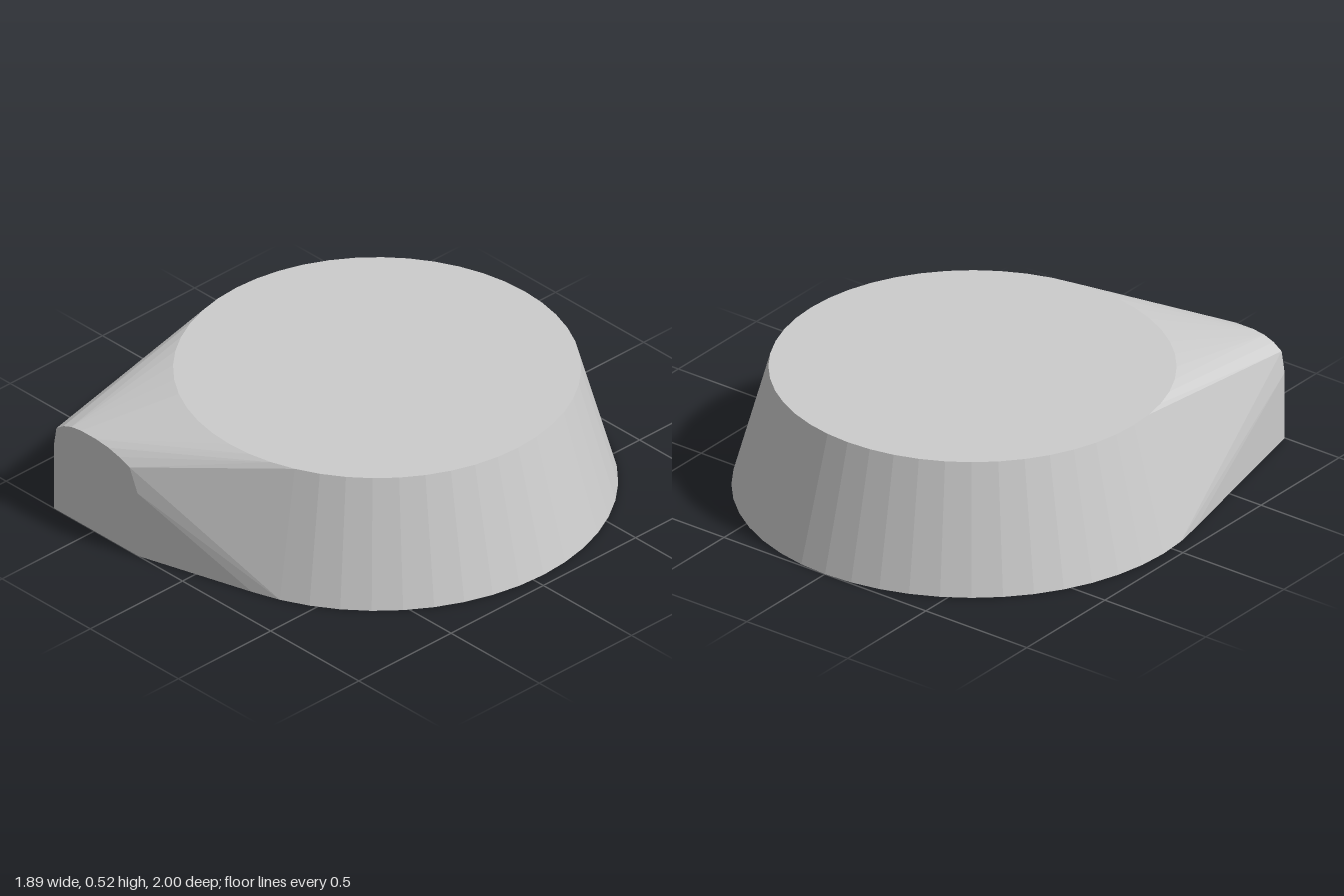
import * as THREE from 'three';
import { ConvexGeometry } from 'three/addons/geometries/ConvexGeometry.js';

const SEGMENTS = 48;
const CENTRE_Z = -0.055;

// Horizontal ring of points around the body's axis
function ring(radius, y) {
  return Array.from({ length: SEGMENTS }, (_, i) => {
    const a = (i / SEGMENTS) * Math.PI * 2;
    return new THREE.Vector3(radius * Math.sin(a), y, CENTRE_Z + radius * Math.cos(a));
  });
}

export function createModel() {
  const group = new THREE.Group();
  group.name = 'taperedBodyWithSpout';

  // Flat arched end of the spout, on the front plane
  const archProfile = [
    [-0.73, 0], [-0.73, 0.29], [-0.715, 0.38], [-0.675, 0.408], [-0.63, 0.425],
    [-0.575, 0.433], [-0.49, 0.433], [-0.42, 0.426], [-0.36, 0.411],
    [-0.3, 0.39], [-0.255, 0.29], [-0.25, 0],
  ];
  const spoutEnd = archProfile.map(([x, y]) => new THREE.Vector3(x, y, 1));

  // Tapered round body stretched tautly out to the spout end
  const geometry = new ConvexGeometry([...ring(0.945, 0), ...ring(0.8, 0.525), ...spoutEnd]);
  const body = new THREE.Mesh(
    geometry,
    new THREE.MeshStandardMaterial({ color: 0xcccccc, flatShading: true })
  );
  body.name = 'bodyAndSpout';
  group.add(body);
  return group;
}
